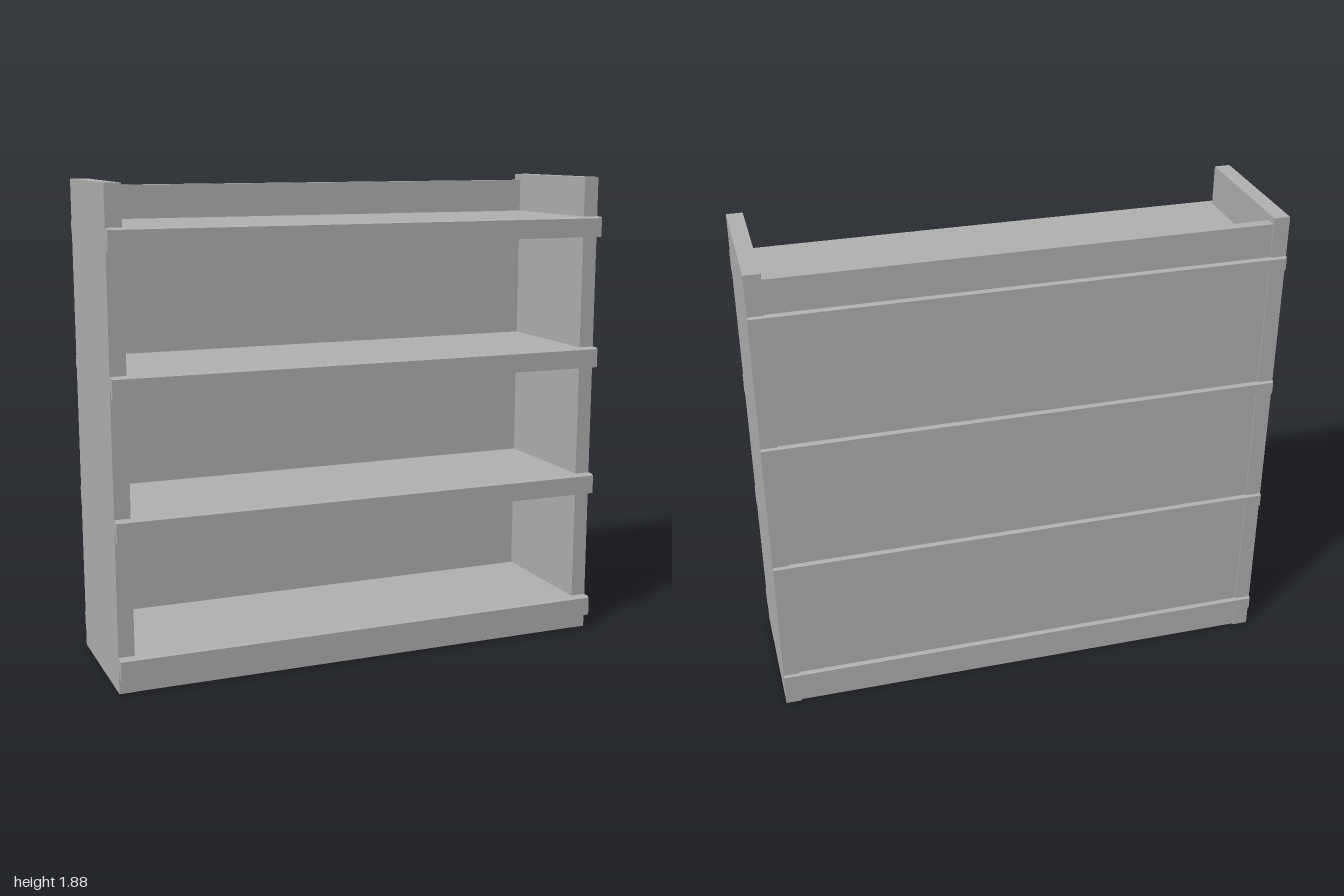
import * as THREE from 'three';

export function createModel() {
  const group = new THREE.Group();
  group.name = 'shelfUnit';
  const grey = new THREE.MeshStandardMaterial({ color: 0xb2b2b2 });
  grey.name = 'plainGrey';

  const add = (name, geometry) => {
    const mesh = new THREE.Mesh(geometry, grey);
    mesh.name = name;
    group.add(mesh);
  };
  // Box given by its limits on each axis
  const box = (name, x0, x1, y0, y1, z0, z1) => {
    const g = new THREE.BoxGeometry(x1 - x0, y1 - y0, z1 - z0);
    g.translate((x0 + x1) / 2, (y0 + y1) / 2, (z0 + z1) / 2);
    add(name, g);
  };
  // Full-width strip from a (z, y) profile
  const strip = (name, points, y) => {
    const shape = new THREE.Shape(points.map(([z, py]) => new THREE.Vector2(-z, py)));
    const g = new THREE.ExtrudeGeometry(shape, { depth: 2, bevelEnabled: false });
    g.rotateY(Math.PI / 2);
    g.translate(-1, y, 0);
    add(name, g);
  };

  // Upright sides
  box('rightSide', -1, -0.938, 0, 1.88, -0.298, 0.272);
  box('leftSide', 0.938, 1, 0, 1.88, -0.298, 0.272);

  // Back panel and closed base
  box('backPanel', -0.938, 0.938, 0, 1.855, -0.291, -0.25);
  box('base', -0.938, 0.938, 0, 0.09, -0.25, 0.27);

  // Shelf decks with a hooked front lip and a shallow back ledge
  const lip = [[0.272, 0], [0.272, -0.052], [0.284, -0.052], [0.284, -0.08],
    [0.308, -0.08], [0.308, -0.006], [0.298, 0]];
  const ledge = [[-0.29, 0], [-0.301, 0], [-0.307, -0.006], [-0.307, -0.055], [-0.29, -0.055]];
  for (let i = 0; i < 4; i++) {
    const y = 0.142 + i * 0.5275;
    box('shelfDeck', -0.938, 0.938, y - 0.052, y, -0.25, 0.272);
    strip('shelfFrontLip', lip, y);
    strip('shelfBackLedge', ledge, y);
  }
  return group;
}
